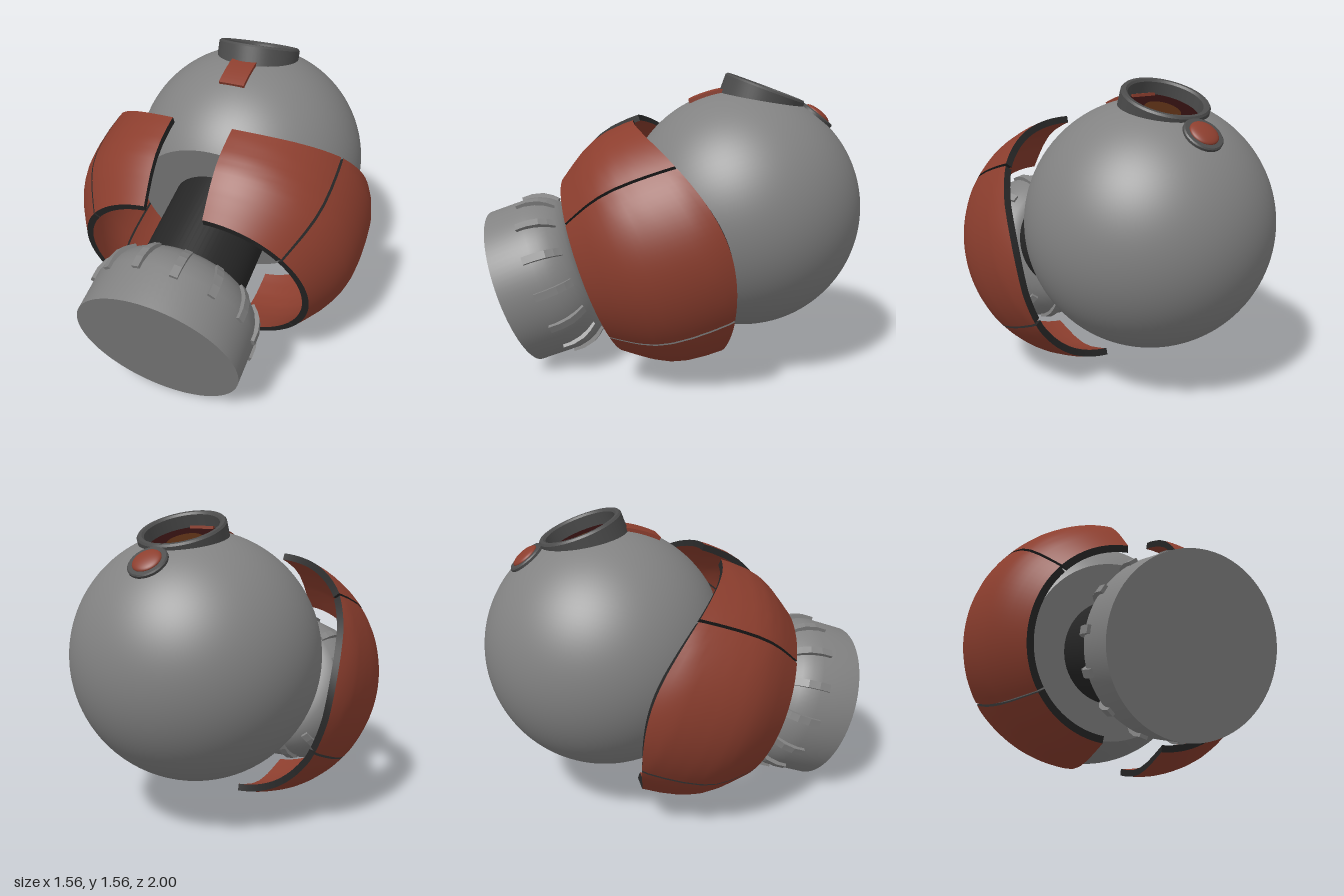
import * as THREE from 'three';
import { toCreasedNormals } from 'three/addons/utils/BufferGeometryUtils.js';

const mat = (name, color, side = THREE.FrontSide) => {
  const m = new THREE.MeshStandardMaterial({ color, side });
  m.name = name;
  return m;
};
const rad = THREE.MathUtils.degToRad;
const R = 0.63;          // ball radius
const CUT = 0.41;        // distance of the flat front cut from the ball centre

// Surface grid from a function of u, v in 0..1
function grid(fn, nu, nv) {
  const pos = [], idx = [];
  for (let i = 0; i <= nu; i++)
    for (let j = 0; j <= nv; j++) pos.push(...fn(i / nu, j / nv));
  for (let i = 0; i < nu; i++)
    for (let j = 0; j < nv; j++) {
      const a = i * (nv + 1) + j, b = a + nv + 1;
      idx.push(a, b, a + 1, b, b + 1, a + 1);
    }
  const g = new THREE.BufferGeometry();
  g.setAttribute('position', new THREE.Float32BufferAttribute(pos, 3));
  g.setIndex(idx);
  g.computeVertexNormals();
  return g;
}

// Ball cut flat at +z, with a round opening around direction h
function ballGeometry(h, alpha) {
  const g = new THREE.SphereGeometry(R, 96, 64, 0, Math.PI * 2, Math.acos(CUT / R), Math.PI - Math.acos(CUT / R));
  g.rotateX(Math.PI / 2);
  const p = g.attributes.position, n = g.attributes.normal, inside = [], v = new THREE.Vector3();
  for (let i = 0; i < p.count; i++) {
    v.fromBufferAttribute(p, i).divideScalar(R);
    const d = v.dot(h);
    inside[i] = d > Math.cos(alpha);
    if (!inside[i]) continue;
    v.addScaledVector(h, -d).normalize().multiplyScalar(Math.sin(alpha)).addScaledVector(h, Math.cos(alpha));
    n.setXYZ(i, v.x, v.y, v.z);
    p.setXYZ(i, v.x * R, v.y * R, v.z * R);
  }
  const idx = [], old = g.index.array;
  for (let i = 0; i < old.length; i += 3) {
    const t = [old[i], old[i + 1], old[i + 2]];
    if (!t.every(k => inside[k])) idx.push(...t);
  }
  g.setIndex(idx);
  return g;
}

// Armour radius along the axis
const PROFILE = [[0.08, 0.585], [0.14, 0.615], [0.22, 0.638], [0.32, 0.645], [0.42, 0.646],
  [0.52, 0.638], [0.6, 0.618], [0.68, 0.58], [0.75, 0.535], [0.82, 0.487]];
function armourRadius(w) {
  let k = 0;
  while (k < PROFILE.length - 2 && w > PROFILE[k + 1][0]) k++;
  const [w0, r0] = PROFILE[k], [w1, r1] = PROFILE[k + 1];
  return r0 + (r1 - r0) * (w - w0) / (w1 - w0);
}

export function createModel() {
  const gray = mat('gray metal', 0x828282);
  const darkGray = mat('dark gray metal', 0x4c4c4c);
  const black = mat('black rubber', 0x262626, THREE.DoubleSide);
  const red = mat('rust red paint', 0x8c3e2e, THREE.DoubleSide);
  const maroon = mat('dark lens', 0x2c0d0d);
  const amber = mat('amber lens', 0x4f2911);

  const root = new THREE.Group();
  const body = new THREE.Group();
  body.name = 'tiltedBody';
  body.rotation.x = rad(20);
  const top = new THREE.Group();
  top.name = 'topDetails';
  for (const g of [body, top]) {
    g.position.set(0, 0.851, -0.37);
    root.add(g);
  }
  const add = (parent, name, geo, m) => {
    const mesh = new THREE.Mesh(geo, m);
    mesh.name = name;
    parent.add(mesh);
    return mesh;
  };
  const lathe = (pts, seg = 64) => toCreasedNormals(
    new THREE.LatheGeometry(pts.map(([r, y]) => new THREE.Vector2(r, y)), seg), rad(35));

  // Ball and its flat front
  const holeTilt = rad(-29.4);
  add(body, 'ball', ballGeometry(new THREE.Vector3(0, Math.cos(holeTilt), Math.sin(holeTilt)), rad(18.8)), gray);
  add(body, 'ballFront', new THREE.CircleGeometry(Math.sqrt(R * R - CUT * CUT), 96).translate(0, 0, CUT), gray);

  // Neck and front hub
  add(body, 'neck', new THREE.CylinderGeometry(0.28, 0.28, 0.55, 64).rotateX(Math.PI / 2).translate(0, 0, 0.67), black);
  add(body, 'hub', lathe([[0, 0.89], [0.29, 0.89], [0.33, 0.905], [0.365, 0.935], [0.395, 0.975], [0.418, 1.025],
    [0.43, 1.08], [0.43, 1.3], [0, 1.3]], 80).rotateX(Math.PI / 2), gray);

  // Raised ribs around the hub shoulder
  const ribShape = new THREE.Shape([[0.925, 0.375], [0.96, 0.407], [1.0, 0.432], [1.06, 0.447], [1.12, 0.447],
    [1.12, 0.41], [1.03, 0.39], [0.95, 0.34]].map(([w, r]) => new THREE.Vector2(w, r)));
  for (let i = 0; i < 14; i++) {
    const g = new THREE.ExtrudeGeometry(ribShape, { depth: 0.04, bevelEnabled: false });
    g.translate(0, 0, -0.02).rotateY(-Math.PI / 2).rotateZ((i + 0.5) * Math.PI / 7);
    add(body, 'hubRib', g, gray);
  }

  // Armour panels: two half rings moved apart, three panels each
  const FRONT = 0.82, THICK = 0.035;
  function panel(side, from, to, name) {
    const point = (u, v, depth) => {
      const t = rad(from + (to - from) * u);
      const back = 0.37 - 0.265 * Math.sin(t) ** 2;
      const w = back + (FRONT - back) * v;
      const r = armourRadius(w) - depth * THICK;
      return [side * (0.135 + r * Math.sin(t)), r * Math.cos(t), w];
    };
    const g = new THREE.Group();
    g.name = name;
    body.add(g);
    add(g, 'outerSkin', grid((u, v) => point(u, v, 0), 24, 20), red);
    add(g, 'innerSkin', grid((u, v) => point(u, v, 1), 24, 20), red);
    for (const e of [0, 1]) {
      add(g, 'rim', grid((u, v) => point(u, e, v), 24, 1), black);
      add(g, 'endEdge', grid((u, v) => point(e, u, v), 20, 1), black);
    }
  }
  for (const side of [1, -1]) {
    panel(side, side > 0 ? -1 : 5.5, 49.4, 'upperArmour');
    panel(side, 50.8, 126.4, 'sideArmour');
    panel(side, 127.6, 177, 'lowerArmour');
  }

  // Eye: collar with a sunken lens
  const eye = new THREE.Group();
  eye.name = 'eye';
  eye.rotation.x = rad(-20);
  top.add(eye);
  const eyeParts = [
    add(eye, 'eyeCollar', lathe([[0.22, 0.5], [0.22, 0.635], [0.212, 0.645], [0.195, 0.645], [0.185, 0.635], [0.185, 0.55]]), darkGray),
    add(eye, 'eyeLens', new THREE.CircleGeometry(0.19, 48).rotateX(-Math.PI / 2).translate(0, 0.57, 0), maroon),
    add(eye, 'eyeIris', new THREE.CircleGeometry(0.09, 40).rotateX(-Math.PI / 2).translate(0, 0.575, 0), amber),
  ];
  for (const m of eyeParts) m.position.z = 0.109;

  // Curved strip in front of the eye
  const strip = new THREE.Shape();
  strip.absarc(0, 0, 0.644, rad(63.6), rad(85), false);
  strip.absarc(0, 0, 0.6, rad(85), rad(63.6), true);
  add(top, 'eyeStrip', toCreasedNormals(new THREE.ExtrudeGeometry(strip, { depth: 0.136, bevelEnabled: false, curveSegments: 12 })
    .translate(0, 0, -0.068).rotateY(-Math.PI / 2), rad(30)), red);

  // Button behind the eye
  const button = new THREE.Group();
  button.name = 'button';
  button.rotation.x = rad(-38);
  top.add(button);
  add(button, 'buttonBase', lathe([[0.1, 0.58], [0.1, 0.634], [0.094, 0.64], [0, 0.64]], 40), darkGray);
  add(button, 'buttonCap', new THREE.SphereGeometry(0.073, 32, 10, 0, Math.PI * 2, 0, Math.PI / 2)
    .scale(1, 0.3, 1).translate(0, 0.64, 0), red);

  return root;
}
